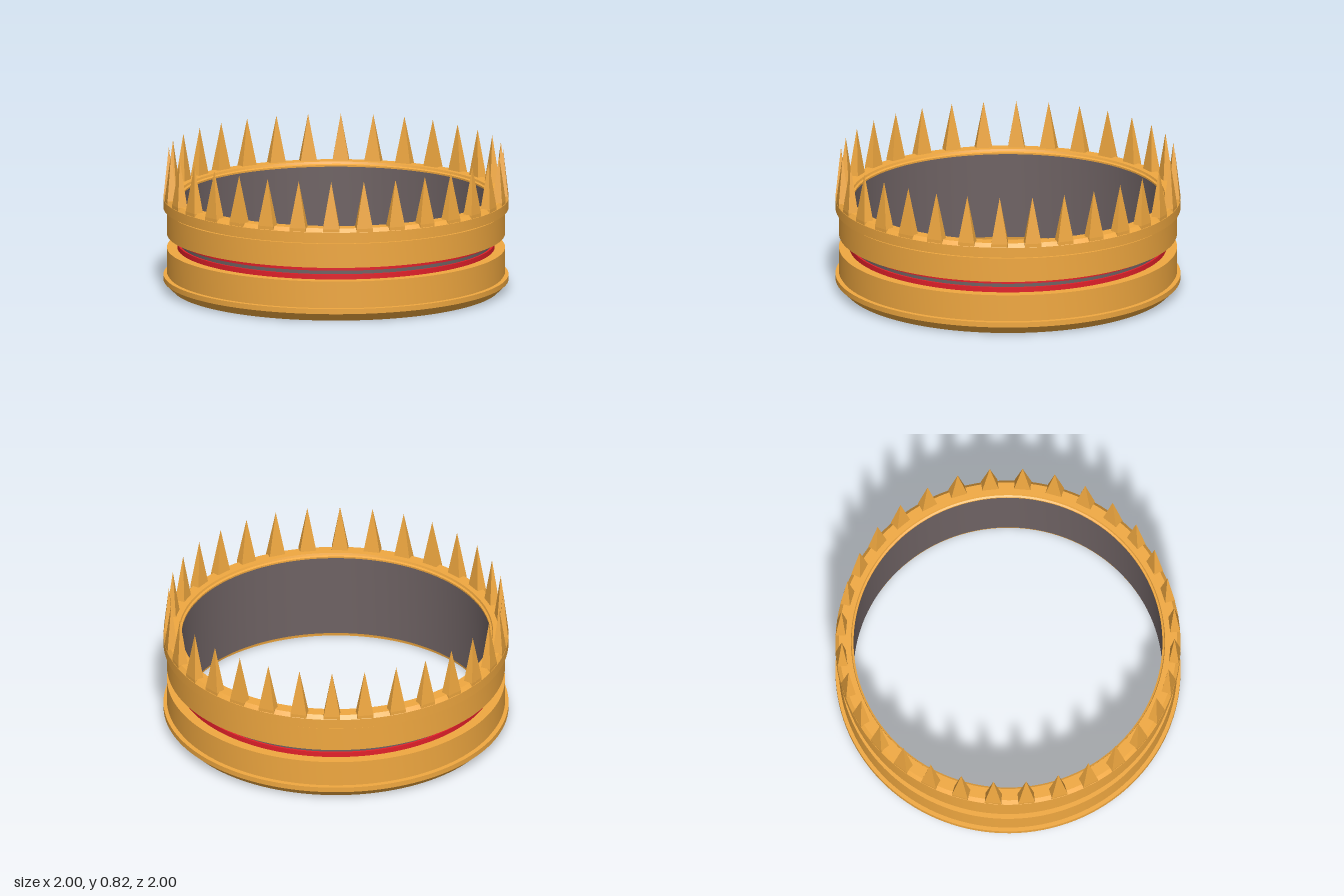
import * as THREE from 'three';
import { toCreasedNormals } from 'three/addons/utils/BufferGeometryUtils.js';

const gold = new THREE.MeshStandardMaterial({ color: 0xf0a840 });
const red = new THREE.MeshStandardMaterial({ color: 0xe3202a });
const grey = new THREE.MeshStandardMaterial({ color: 0x6e6263 });

// Revolve an [r, y] profile (outside upwards, inside downwards) with crisp rims
function ring(name, profile, material) {
  const points = profile.map(([r, y]) => new THREE.Vector2(r, y));
  const mesh = new THREE.Mesh(toCreasedNormals(new THREE.LatheGeometry(points, 128), 0.35), material);
  mesh.name = name;
  return mesh;
}

export function createModel() {
  const group = new THREE.Group();
  group.name = 'spikedRing';

  // Gold lower half: chamfered foot, fine groove, wide band
  group.add(ring('lowerBand', [
    [0.895, 0.025], [0.897, 0.012], [0.91, 0.012], [0.91, 0], [0.95, 0], [1, 0.048], [1, 0.078],
    [0.972, 0.078], [0.972, 0.09], [0.98, 0.09], [0.98, 0.237], [0.9, 0.237],
  ], gold));

  // Gold upper half: wide band, groove, rim with chamfered top edge
  group.add(ring('upperBand', [
    [0.9, 0.318], [0.98, 0.318], [0.98, 0.46], [0.965, 0.46], [0.965, 0.472], [1, 0.472],
    [1, 0.53], [0.98, 0.552], [0.91, 0.552], [0.906, 0.54], [0.895, 0.535], [0.895, 0.525],
  ], gold));

  // Red rings with a dark core showing between them
  for (const [name, y] of [['lowerRedRing', 0.237], ['upperRedRing', 0.289]]) {
    group.add(ring(name, [[0.905, y], [0.92, y], [0.92, y + 0.029], [0.905, y + 0.029]], red));
  }
  group.add(ring('core', [[0.908, 0.237], [0.908, 0.318]], grey));

  // Inner lining
  group.add(ring('lining', [[0.895, 0.525], [0.895, 0.025]], grey));

  // Spikes: four-sided pyramids on short blocks, tips centred on the rim
  const count = 32;
  const pyramid = new THREE.ConeGeometry(Math.SQRT1_2, 1, 4, 1).rotateY(Math.PI / 4).toNonIndexed();
  pyramid.computeVertexNormals();
  pyramid.scale(0.096, 0.275, 0.058).translate(0, 0.6875, 0.969);
  const block = new THREE.BoxGeometry(0.096, 0.03, 0.05).translate(0, 0.5355, 0.973);
  const spikes = new THREE.Group();
  spikes.name = 'spikes';
  for (let i = 0; i < count; i++) {
    const spike = new THREE.Group();
    spike.name = 'spike';
    spike.add(new THREE.Mesh(pyramid, gold), new THREE.Mesh(block, gold));
    spike.rotation.y = ((i + 0.25) / count) * Math.PI * 2;
    spikes.add(spike);
  }
  group.add(spikes);
  return group;
}
